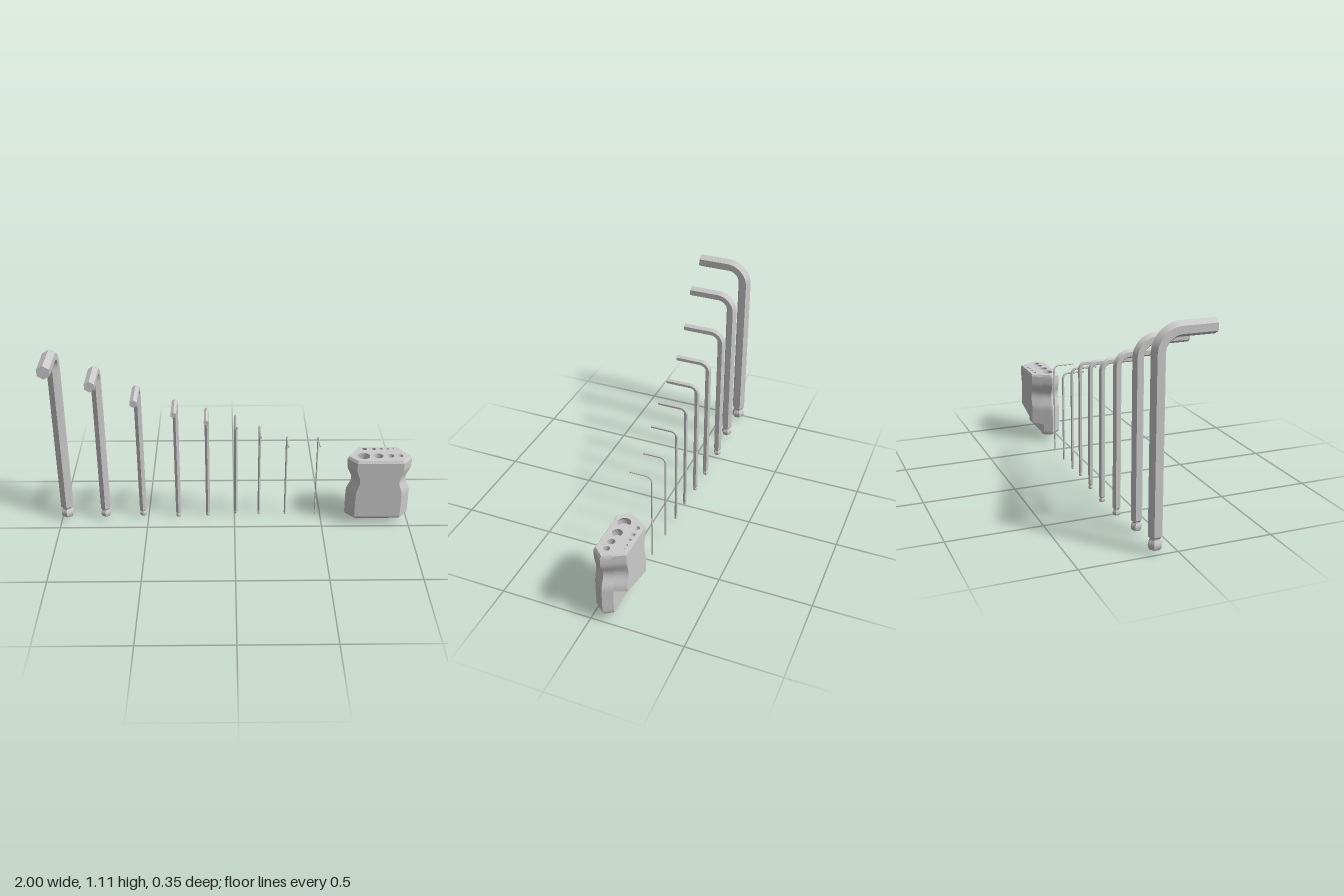
import * as THREE from 'three';
import { toCreasedNormals } from 'three/addons/utils/BufferGeometryUtils.js';

const material = new THREE.MeshStandardMaterial({ color: 0xcccccc });

function addMesh(parent, geometry, name) {
  const mesh = new THREE.Mesh(geometry, material);
  mesh.name = name;
  parent.add(mesh);
  return mesh;
}

// Ball end profile: height above the tip and radius, as factors of the key size
const BALL = [[0, 0.78], [0.2, 0.97], [0.38, 1], [0.52, 0.96], [0.75, 0.7], [0.88, 0.7], [1.05, 1]];

// Hexagonal bar swept up the long leg, around the bend and along the short arm
function hexKeyGeometry({ size, top, bottom, back, front }) {
  const R = size / Math.sqrt(3);
  const bend = Math.max(size * 1.6, 0.03);
  const legZ = back + R;
  const cy = top - R - bend, cz = legZ + bend;
  const rings = [];
  const addRing = (y, z, a, r) => {
    const ring = [];
    for (let k = 0; k < 6; k++) {
      const t = (k * Math.PI) / 3;
      const n = Math.cos(t) * r;
      ring.push([Math.sin(t) * r, y - Math.sin(a) * n, z + Math.cos(a) * n]);
    }
    rings.push(ring);
  };
  BALL.forEach(([h, f]) => addRing(bottom + h * size, legZ, 0, R * f));
  const steps = 12;
  for (let i = 0; i <= steps; i++) {
    const a = (i / steps) * Math.PI / 2;
    addRing(cy + Math.sin(a) * bend, cz - Math.cos(a) * bend, a, R);
  }
  addRing(top - R, front, Math.PI / 2, R);

  const pos = [];
  const tri = (a, b, c) => pos.push(...a, ...b, ...c);
  for (let i = 0; i < rings.length - 1; i++) {
    for (let k = 0; k < 6; k++) {
      const j = (k + 1) % 6;
      tri(rings[i][k], rings[i][j], rings[i + 1][j]);
      tri(rings[i][k], rings[i + 1][j], rings[i + 1][k]);
    }
  }
  const first = rings[0], last = rings[rings.length - 1];
  for (let k = 1; k < 5; k++) {
    tri(first[0], first[k + 1], first[k]);
    tri(last[0], last[k], last[k + 1]);
  }
  const geo = new THREE.BufferGeometry();
  geo.setAttribute('position', new THREE.Float32BufferAttribute(pos, 3));
  return toCreasedNormals(geo, 0.45);
}

// x, size across flats, top, bottom, back z, front z
const KEYS = [
  [-0.967, 0.065, 1.105, 0.02, -0.142, 0.174],
  [-0.745, 0.052, 1.003, 0.02, -0.133, 0.148],
  [-0.53, 0.038, 0.873, 0.011, -0.141, 0.103],
  [-0.325, 0.029, 0.782, 0, -0.134, 0.068],
  [-0.153, 0.024, 0.727, 0.006, -0.13, 0.06],
  [0.008, 0.018, 0.68, 0.02, -0.125, 0.044],
  [0.142, 0.014, 0.613, 0.012, -0.122, 0.029],
  [0.294, 0.011, 0.543, 0.013, -0.119, 0.013],
  [0.468, 0.008, 0.541, 0.013, -0.113, 0.012],
];

// Holder dimensions
const BASE = 0.045, TOP = 0.427, SEAM = -0.113, STEPS = 26;
const FRONT_HOLES = [[-0.095, 0.037], [-0.009, 0.029], [0.063, 0.021], [0.118, 0.018]];
const BACK_HOLES = [[-0.08, 0.014], [-0.025, 0.012], [0.018, 0.01], [0.058, 0.008], [0.09, 0.006]];
const FRONT_Z = -0.066, BACK_Z = -0.15;
const ledge = (x) => 0.15 + 0.27 * x;

// Finger waist in the sides of the holder
function waist(y) {
  const t = Math.abs(y - 0.29) / 0.085;
  return t < 1 ? 1 - 0.15 * (0.5 + 0.5 * Math.cos(Math.PI * t)) : 1;
}

// Upright block with holes, pinched at the waist and chamfered at the ends
function holderBlock(outline, holes, holeZ, bottomAt, chamferBottom) {
  const shape = new THREE.Shape(outline.map(([x, z]) => new THREE.Vector2(x, -z)));
  holes.forEach(([x, r]) => {
    const hole = new THREE.Path();
    hole.absarc(x, -holeZ, r, 0, Math.PI * 2, true);
    shape.holes.push(hole);
  });
  const geo = new THREE.ExtrudeGeometry(shape, { depth: 1, steps: STEPS, bevelEnabled: false, curveSegments: 12 });
  geo.rotateX(-Math.PI / 2);
  const p = geo.attributes.position;
  for (let i = 0; i < p.count; i++) {
    const x = p.getX(i), t = p.getY(i);
    const low = bottomAt(x);
    const y = low + t * (TOP - low);
    const end = t > 0.999 || (chamferBottom && t < 0.001);
    p.setXYZ(i, x * waist(y) * (end ? 0.955 : 1), y, end ? SEAM + (p.getZ(i) - SEAM) * 0.92 : p.getZ(i));
  }
  return toCreasedNormals(geo, 0.5);
}

function createHolder() {
  const holder = new THREE.Group();
  holder.name = 'holder';
  holder.position.x = 0.815;

  const front = [[-0.13, -0.007], [0.13, -0.007], [0.181, -0.065], [0.15, SEAM], [-0.15, SEAM], [-0.181, -0.065]];
  const back = [[-0.15, SEAM], [0.15, SEAM], [0.113, -0.173], [-0.113, -0.173]];
  addMesh(holder, holderBlock(front, FRONT_HOLES, FRONT_Z, () => BASE, true), 'holderFront');
  addMesh(holder, holderBlock(back, BACK_HOLES, BACK_Z, ledge, false), 'holderBack');

  // Floors that close the sockets from both ends
  const addFloor = (x, z, r, low, high) => {
    const floor = addMesh(holder, new THREE.CylinderGeometry(r, r, high - low, 24), 'socketFloor');
    floor.position.set(x, (low + high) / 2, z);
  };
  FRONT_HOLES.forEach(([x, r]) => {
    addFloor(x, FRONT_Z, r, 0.08, 0.385);
    // Rim below each large socket
    const rim = [[r, 0.06], [r, 0.035], [r + 0.007, 0.035], [r + 0.007, 0.06]];
    const geo = new THREE.LatheGeometry(rim.map(([a, b]) => new THREE.Vector2(a, b)), 28);
    const mesh = addMesh(holder, toCreasedNormals(geo, 0.5), 'socketRim');
    mesh.material = material.clone();
    mesh.material.side = THREE.DoubleSide;
    mesh.position.set(x, 0, FRONT_Z);
  });
  BACK_HOLES.forEach(([x, r]) => addFloor(x, BACK_Z, r, ledge(x) + 0.015, 0.395));
  return holder;
}

export function createModel() {
  const model = new THREE.Group();
  model.name = 'hexKeySet';
  KEYS.forEach(([x, size, top, bottom, back, front], i) => {
    const key = addMesh(model, hexKeyGeometry({ size, top, bottom, back, front }), `hexKey${i + 1}`);
    key.position.x = x;
  });
  model.add(createHolder());
  return model;
}
